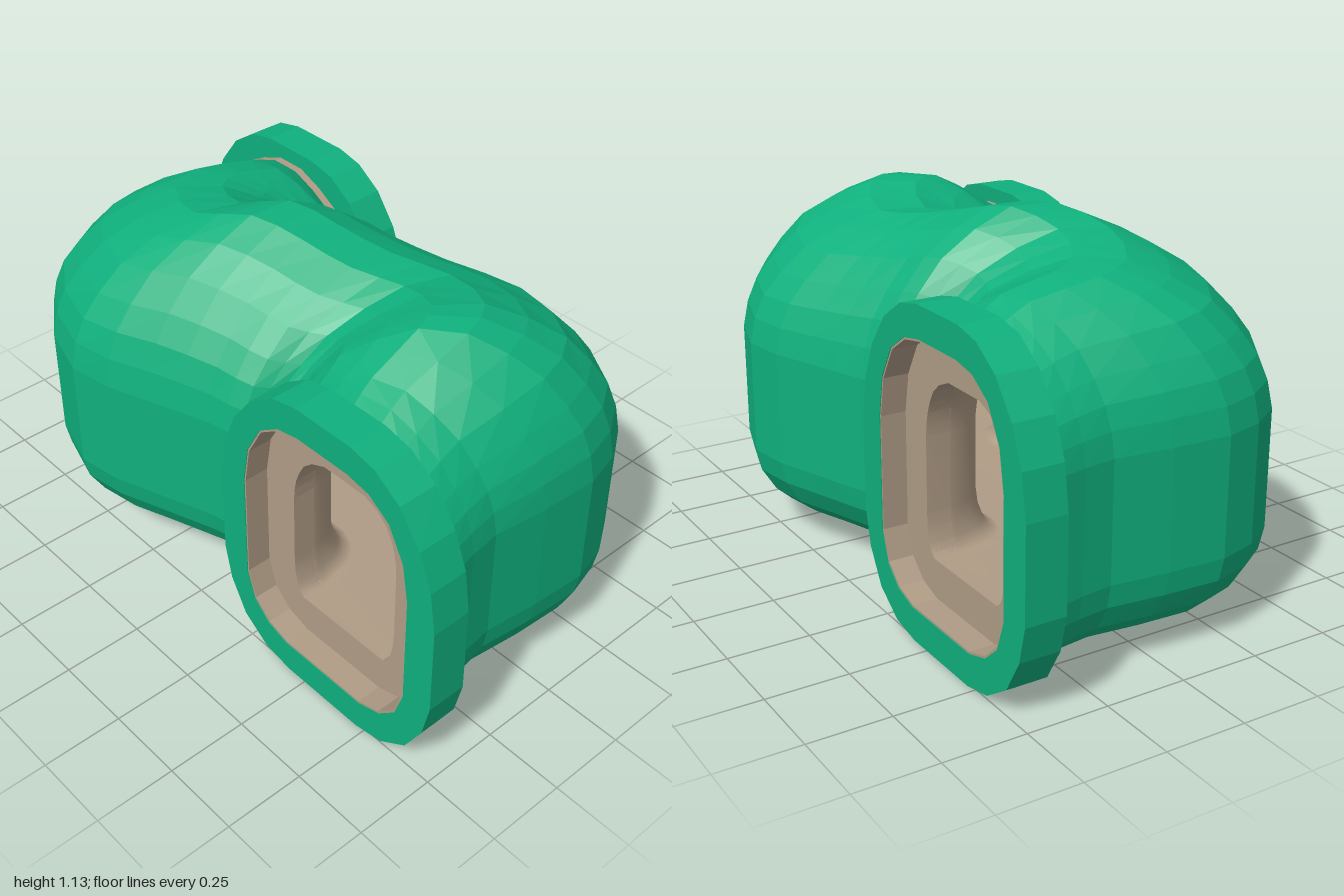
import * as THREE from 'three';

// Half cross-section: u = sideways (1 = edge), upper part as fraction of the rise, lower part as height
const TOP = [[1, 0], [0.965, 0.2], [0.9, 0.38], [0.79, 0.55], [0.63, 0.74], [0.4, 0.89], [0.15, 1]];
const BOTTOM = [[0.65, 0.08], [0.78, 0.1], [0.88, 0.14], [0.97, 0.21], [1, 0.28]];

// Closed loop of [u, y], counter-clockwise from the right edge
function profile(height) {
  const half = [...BOTTOM, ...TOP.map(([u, f]) => [u, 0.64 + f * (height - 0.64)])];
  return [...half, ...half.map(([u, y]) => [-u, y]).reverse()];
}

// Squarer and smaller loop for the inside of the tunnel
function innerProfile(height) {
  return profile(height).map(([u, y]) => [Math.sign(u) * Math.sqrt(Math.abs(u)), 0.225 + (y - 0.08) * 0.632]);
}

// Skin a row of sections, each { l, r, h }
function loft(sections, makeLoop) {
  const pos = [], index = [];
  let n = 0;
  for (const { l, r, h } of sections) {
    const loop = makeLoop(h);
    n = loop.length;
    for (const [u, y] of loop) {
      const t = (u + 1) / 2;
      pos.push(l.x + (r.x - l.x) * t, y, l.z + (r.z - l.z) * t);
    }
  }
  for (let i = 0; i < sections.length - 1; i++) {
    for (let j = 0; j < n; j++) {
      const k = (j + 1) % n;
      const a = i * n + j, b = i * n + k, c = a + n, d = b + n;
      index.push(a, c, d, a, d, b);
    }
  }
  const g = new THREE.BufferGeometry();
  g.setAttribute('position', new THREE.Float32BufferAttribute(pos, 3));
  g.setIndex(index);
  return g;
}

// Ring between two outlines, from z0 to z1
function ring(outer, inner, z0, z1) {
  const shape = new THREE.Shape(outer.map(([x, y]) => new THREE.Vector2(x, y)));
  shape.holes.push(new THREE.Path(inner.map(([x, y]) => new THREE.Vector2(x, y))));
  const g = new THREE.ExtrudeGeometry(shape, { depth: z1 - z0, bevelEnabled: false });
  return g.translate(0, 0, z0);
}

// Mirror a right-hand outline about x = 0.575
function outline(half) {
  return [...half, ...half.map(([x, y]) => [1.15 - x, y]).reverse()];
}

export function createModel() {
  const green = new THREE.MeshStandardMaterial({ color: 0x10b07d });
  green.name = 'green shell';
  green.flatShading = true;
  const beige = new THREE.MeshStandardMaterial({ color: 0xb09c86 });
  beige.name = 'beige lining';
  beige.side = THREE.DoubleSide;

  const model = new THREE.Group();
  const add = (parent, name, geometry, material) => {
    const mesh = new THREE.Mesh(geometry, material);
    mesh.name = name;
    parent.add(mesh);
  };

  // Edges of the S-bend: tight inside crease, wide outside sweep (x, z)
  const crease = [[0.23, 0.36], [0.225, 0.35], [0.22, 0.34], [0.2, 0.33], [0.165, 0.345], [0.12, 0.41], [0, 0.44]];
  const sweep = [[0.92, 0.36], [0.89, 0.17], [0.92, -0.19], [0.82, -0.42], [0.48, -0.58], [0.2, -0.51]];
  const heights = [0.95, 1.0, 1.09, 1.09, 1.045, 1.065, 1.105, 1.135, 1.09, 1.055, 1.04, 1.0, 0.95];
  const turned = (list) => list.map(([x, z]) => [-x, -z]).reverse();
  const left = [...crease, ...turned(sweep)];
  const right = [...sweep, ...turned(crease)];
  const curve = (list) => new THREE.CatmullRomCurve3(list.map(([x, z], i) => new THREE.Vector3(x, heights[i], z)));
  const lCurve = curve(left), rCurve = curve(right);
  const sections = [];
  for (let i = 0; i <= 24; i++) {
    const l = lCurve.getPoint(i / 24), r = rCurve.getPoint(i / 24);
    sections.push({ l, r, h: r.y });
  }

  // Outer shell
  const shell = loft(sections, profile).toNonIndexed();
  shell.computeVertexNormals();
  add(model, 'tunnelShell', shell, green);

  // Inner tunnel, inset from the shell and carried out to both mouths
  const inset = sections.map(({ l, r, h }) => {
    const w = 0.14 / l.distanceTo(r);
    return { l: l.clone().lerp(r, w), r: r.clone().lerp(l, w), h };
  });
  const mouth = (s) => ({
    l: new THREE.Vector3(s > 0 ? 0.37 : -0.78, 0, 0.43 * s),
    r: new THREE.Vector3(s > 0 ? 0.78 : -0.37, 0, 0.43 * s),
    h: 0.95,
  });
  const bore = loft([mouth(1), ...inset, mouth(-1)], innerProfile);
  bore.computeVertexNormals();
  add(model, 'innerTunnel', bore, beige);

  // Outlines for the ends
  const rimEdge = outline([[0.72, 0], [0.82, 0.02], [0.915, 0.085], [0.975, 0.19], [1, 0.3], [1, 0.58],
    [0.98, 0.71], [0.935, 0.82], [0.86, 0.92], [0.77, 0.98], [0.68, 1]]);
  const opening = outline([[0.73, 0.1], [0.81, 0.125], [0.87, 0.18], [0.9, 0.27], [0.9, 0.62],
    [0.88, 0.74], [0.825, 0.84], [0.75, 0.89], [0.67, 0.905]]);
  const liningEdge = opening.map(([x, y]) => [0.575 + (x - 0.575) * 0.985, 0.5 + (y - 0.5) * 0.985]);
  const hole = innerProfile(0.95).map(([u, y]) => [0.575 + u * 0.205, y]);
  const collarEdge = profile(0.95).map(([u, y]) => [0.575 + u * 0.345, y]);

  // Both ends: rim, lining, recessed face and collar
  for (const name of ['frontEnd', 'backEnd']) {
    const end = new THREE.Group();
    end.name = name;
    add(end, 'rim', ring(rimEdge, opening, 0.385, 0.51), green);
    add(end, 'rimLining', ring(opening, liningEdge, 0.39, 0.508), beige);
    add(end, 'recessedFace', ring(opening, hole, 0.39, 0.43), beige);
    add(end, 'collar', ring(collarEdge, hole, 0.355, 0.39), beige);
    if (name === 'backEnd') end.rotation.y = Math.PI;
    model.add(end);
  }
  return model;
}
